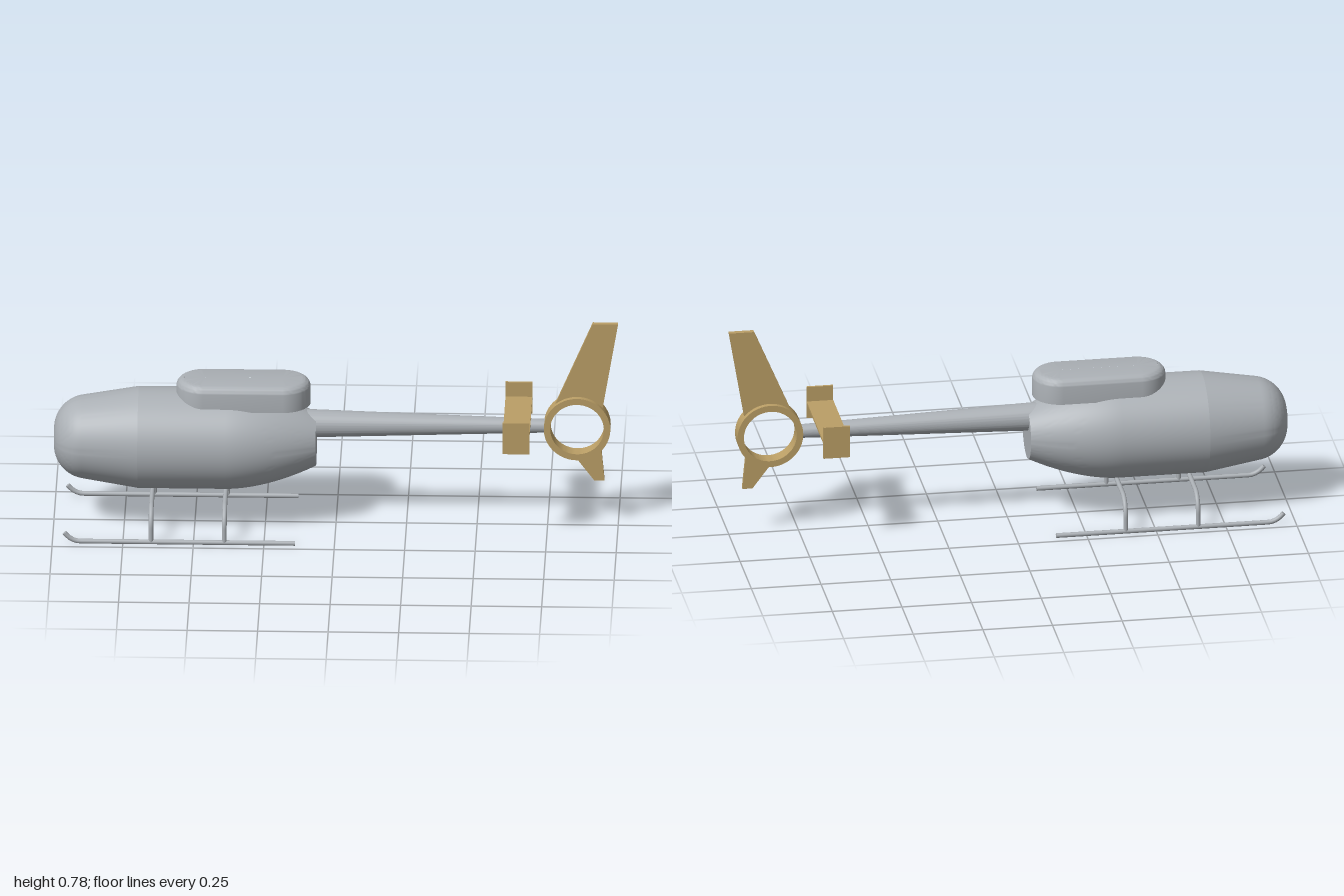
import * as THREE from 'three';
import { toCreasedNormals } from 'three/addons/utils/BufferGeometryUtils.js';

const V2 = (x, y) => new THREE.Vector2(x, y);
const V3 = (x, y, z) => new THREE.Vector3(x, y, z);

export function createModel() {
  const model = new THREE.Group();
  model.name = 'helicopter';
  const grey = new THREE.MeshStandardMaterial({ name: 'hull grey', color: 0xabb0b5 });
  const tan = new THREE.MeshStandardMaterial({ name: 'tail tan', color: 0xbb9f66 });

  const add = (name, geometry, material, x = 0, y = 0, z = 0) => {
    const mesh = new THREE.Mesh(geometry, material);
    mesh.name = name;
    mesh.position.set(x, y, z);
    model.add(mesh);
    return mesh;
  };

  // Solid of revolution about the x axis; points are (radius, x)
  const turned = (points, segments = 96) =>
    toCreasedNormals(new THREE.LatheGeometry(points, segments).rotateZ(-Math.PI / 2), 0.15);

  // Capped round tube along a curve
  const tube = (name, curve, radius, steps) => {
    add(name, new THREE.TubeGeometry(curve, steps, radius, 16), grey);
    for (const t of [0, 1]) {
      const end = curve.getPoint(t);
      const cap = add(name + 'Cap', new THREE.CircleGeometry(radius, 16), grey, end.x, end.y, end.z);
      cap.lookAt(end.clone().addScaledVector(curve.getTangent(t), t ? 1 : -1));
    }
  };

  // Fuselage: rounded nose, slight cone, barrel, tapering rear with flat end
  const hull = [V2(0, -1)];
  for (let i = 0; i <= 20; i++) {
    const a = (i / 20) * (Math.PI / 2 - 0.16);
    hull.push(V2(0.03 + 0.12 * Math.sin(a), -0.88 - 0.12 * Math.cos(a)));
  }
  hull.push(V2(0.181, -0.7));
  for (let i = 0; i <= 16; i++) {
    const t = i / 16;
    hull.push(V2(0.181 - 0.086 * t ** 1.8, -0.39 + 0.32 * t));
  }
  hull.push(V2(0, -0.07));
  add('fuselage', turned(hull), grey, 0, 0.32, 0);

  // Tail boom
  add('tailBoom', turned([V2(0, -0.12), V2(0.051, -0.12), V2(0.024, 0.755), V2(0, 0.755)]), grey, 0, 0.38, 0);

  // Engine housing: a rounded drum pulled apart along x into a stadium
  const drum = [V2(0.0001, 0.46), V2(0.101, 0.46)];
  for (let i = 0; i <= 10; i++) {
    const a = (i / 10) * (Math.PI / 2);
    drum.push(V2(0.071 + 0.03 * Math.cos(a), 0.522 + 0.03 * Math.sin(a)));
  }
  drum.push(V2(0.0001, 0.552));
  const housing = new THREE.LatheGeometry(drum, 64, Math.PI / 64);
  const p = housing.attributes.position;
  for (let i = 0; i < p.count; i++) p.setX(i, p.getX(i) + Math.sign(p.getX(i)) * 0.137);
  add('engineHousing', toCreasedNormals(housing, 0.4), grey, -0.328, 0, 0);
  const inlet = add('housingInlet', new THREE.TorusGeometry(0.011, 0.003, 8, 24), grey, -0.547, 0.546, 0);
  inlet.rotation.set(-Math.PI / 2, -0.5, 0);

  // Landing skids with upturned front tips
  for (const side of [1, -1]) {
    const z = side * 0.217;
    const skid = new THREE.CurvePath();
    skid.add(new THREE.LineCurve3(V3(-0.14, 0.0085, z), V3(-0.9, 0.0085, z)));
    skid.add(new THREE.QuadraticBezierCurve3(V3(-0.9, 0.0085, z), V3(-0.932, 0.0085, z), V3(-0.957, 0.04, z)));
    tube(side > 0 ? 'leftSkid' : 'rightSkid', skid, 0.0085, 60);
  }

  // Arched cross tubes joining the skids
  const k = 0.55 * 0.065;
  for (const x of [-0.65, -0.39]) {
    const arch = new THREE.CurvePath();
    const bend = (s) => [
      V3(x, 0.062, s * 0.217), V3(x, 0.062 + k, s * 0.217),
      V3(x, 0.127, s * (0.152 + k)), V3(x, 0.127, s * 0.152)];
    arch.add(new THREE.LineCurve3(V3(x, 0.01, 0.217), V3(x, 0.062, 0.217)));
    arch.add(new THREE.CubicBezierCurve3(...bend(1)));
    arch.add(new THREE.LineCurve3(V3(x, 0.127, 0.152), V3(x, 0.127, -0.152)));
    arch.add(new THREE.CubicBezierCurve3(...bend(-1).reverse()));
    arch.add(new THREE.LineCurve3(V3(x, 0.062, -0.217), V3(x, 0.01, -0.217)));
    tube('crossTube', arch, 0.0085, 90);
  }

  // Tail rotor ring
  const ring = [V2(0.095, -0.028), V2(0.118, -0.028), V2(0.118, 0.028), V2(0.095, 0.028), V2(0.095, -0.028)];
  add('tailRing',
    toCreasedNormals(new THREE.LatheGeometry(ring, 72).rotateX(Math.PI / 2), 0.4), tan, 0.855, 0.378, 0);

  // Upper and lower fins, following the ring where they meet it
  const fin = (name, thickness, outline, from, to) => {
    const shape = new THREE.Shape(outline.map(([x, y]) => V2(x, y)));
    shape.absarc(0.855, 0.378, 0.11, from, to, from > to);
    shape.closePath();
    const geometry = new THREE.ExtrudeGeometry(shape, { depth: thickness, bevelEnabled: false, curveSegments: 16 });
    add(name, geometry.translate(0, 0, -thickness / 2), tan);
  };
  fin('upperFin', 0.019, [[0.775, 0.46], [0.91, 0.776], [1, 0.776], [0.945, 0.452]], 0.7, 2.35);
  fin('lowerFin', 0.015, [[0.94, 0.3], [0.952, 0.174], [0.916, 0.174], [0.85, 0.262]], -1.6, -0.65);

  // Horizontal stabiliser with end plates
  add('stabiliser', new THREE.BoxGeometry(0.095, 0.009, 0.37), tan, 0.643, 0.409, 0);
  for (const side of [1, -1])
    add('stabiliserEndPlate', new THREE.BoxGeometry(0.095, 0.119, 0.009), tan, 0.643, 0.409, side * 0.187);

  return model;
}
